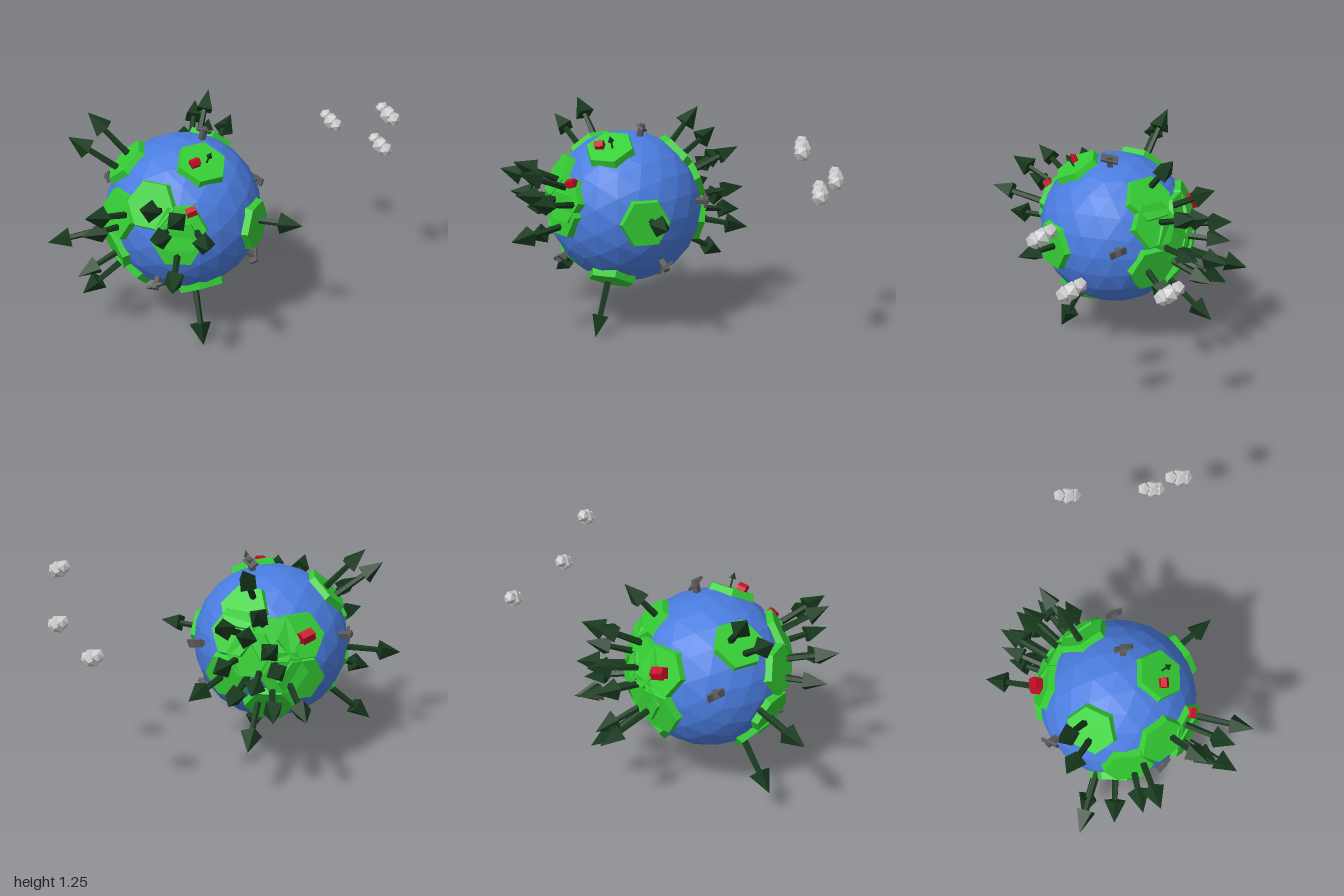
import * as THREE from 'three';

const R = 0.43;
const UP = new THREE.Vector3(0, 1, 0);
const material = (color) => new THREE.MeshStandardMaterial({ color, flatShading: true });
const mats = {
  sea: material(0x4a7de0), land: material(0x35cf35), tree: material(0x183a1e),
  house: material(0xc40d26), stone: material(0x5a5a5a), cloud: material(0xcccccc),
};

function mesh(name, geometry, mat, x = 0, y = 0, z = 0) {
  const m = new THREE.Mesh(geometry, mat);
  m.name = name;
  m.position.set(x, y, z);
  return m;
}

// Stands an object on the globe: its y axis points outward, its z axis runs level
function stand(object, direction, height, spin = 0) {
  const n = new THREE.Vector3(...direction).normalize();
  const level = new THREE.Vector3().crossVectors(UP, n).normalize();
  const side = new THREE.Vector3().crossVectors(n, level);
  object.quaternion.setFromRotationMatrix(new THREE.Matrix4().makeBasis(side, n, level));
  object.rotateY(spin);
  object.position.copy(n).multiplyScalar(height);
  return object;
}

// Tree reaching from the ground out to the given tip; short ones are also slimmer
function tree(tip) {
  const length = Math.hypot(...tip) - 0.42;
  const s = Math.min(1, (length / 0.2) ** 2);
  const crown = 0.125 * s, trunk = length - crown;
  const g = new THREE.Group();
  g.name = 'tree';
  g.add(
    mesh('trunk', new THREE.CylinderGeometry(0.016 * s, 0.02 * s, trunk, 5), mats.tree, 0, trunk / 2, 0),
    mesh('crown', new THREE.ConeGeometry(0.06 * s, crown, 4), mats.tree, 0, trunk + crown / 2, 0)
  );
  return stand(g, tip, 0.42, tip[0] * 5);
}

// Small house with a gable roof
function house(size) {
  const gable = new THREE.Shape([[-0.6, 0], [0.6, 0], [0, 0.45]].map((p) => new THREE.Vector2(...p)));
  const roof = new THREE.ExtrudeGeometry(gable, { depth: 1.3, bevelEnabled: false });
  const g = new THREE.Group();
  g.name = 'house';
  g.add(
    mesh('walls', new THREE.BoxGeometry(1, 0.8, 1.2), mats.house, 0, 0.4, 0),
    mesh('roof', roof, mats.house, 0, 0.75, -0.65)
  );
  g.scale.setScalar(size);
  return g;
}

// Grey tilted slab on a short post
function stone() {
  const g = new THREE.Group();
  g.name = 'stone';
  const slab = mesh('slab', new THREE.BoxGeometry(0.045, 0.014, 0.095), mats.stone, 0, 0.05, 0);
  slab.rotation.set(0.35, 0, 0.4);
  g.add(mesh('post', new THREE.BoxGeometry(0.028, 0.085, 0.032), mats.stone, 0, 0.028, 0), slab);
  return g;
}

// Cloud of three overlapping lumps
function cloud(x, y, z) {
  const g = new THREE.Group();
  g.name = 'cloud';
  [[-0.022, 0.026, -0.038, 0.038], [0.002, 0, 0, 0.05], [0.02, -0.015, 0.03, 0.043]].forEach(([a, b, c, r], i) => {
    const lump = mesh('cloudLump', new THREE.IcosahedronGeometry(r, 0), mats.cloud, a, b, c);
    lump.rotation.set(i, i * 0.7, 0);
    g.add(lump);
  });
  g.position.set(x, y, z);
  return g;
}

export function createModel() {
  const model = new THREE.Group();
  model.name = 'tinyPlanet';
  const planet = new THREE.Group();
  planet.name = 'planet';
  planet.position.set(-0.24, 0.7, 0);
  planet.add(mesh('sea', new THREE.IcosahedronGeometry(R, 3), mats.sea));

  // Hexagonal land plates
  const plates = [
    [0.34, 0, 0.26], [0.06, 0.37, 0.21], [0.055, -0.37, 0.2],
    [-0.115, 0.02, 0.41], [-0.1, 0.1, 0.41], [-0.23, 0.2, 0.3], [-0.38, 0.1, 0.16],
    [-0.3, 0.3, -0.06], [-0.4, -0.13, 0.09], [-0.31, -0.27, 0.06],
    [0.2, 0.29, -0.25], [0.26, 0.17, -0.3], [0.3, -0.08, -0.3], [0.076, -0.235, -0.35],
    [0.18, 0.07, -0.38], [0.06, 0.15, -0.4], [-0.08, 0.16, -0.39], [0.02, -0.02, -0.43], [-0.08, -0.07, -0.41],
  ];
  for (const p of plates) {
    planet.add(stand(mesh('land', new THREE.CylinderGeometry(0.134, 0.143, 0.045, 6), mats.land), p, 0.42));
  }

  // Trees, listed by their tips
  const tips = [
    [0.57, 0.02, 0.38], [0.035, -0.69, 0.325], [0.1, 0.45, 0.26],
    [-0.18, 0.28, 0.68], [-0.32, 0.31, 0.57], [-0.03, 0.15, 0.755], [-0.21, -0.09, 0.725], [-0.27, 0.14, 0.62],
    [-0.48, 0.555, -0.17], [-0.6, 0.455, -0.1], [-0.59, 0.21, 0.39], [-0.6, 0.06, 0.3],
    [-0.755, -0.12, -0.01], [-0.62, -0.265, 0.145], [-0.575, -0.495, -0.06],
    [0.23, 0.54, -0.385], [0.4, 0.3, -0.55], [0.53, -0.14, -0.46], [0.245, -0.38, -0.63],
    [-0.035, -0.17, -0.765], [0.2, 0.385, -0.61], [0.15, 0.19, -0.7], [0.24, -0.03, -0.7],
    [0.35, -0.1, -0.65], [0.42, 0.06, -0.58], [0.28, 0.26, -0.61], [0.1, 0.05, -0.69], [0.12, -0.2, -0.68],
  ];
  for (const t of tips) planet.add(tree(t));

  // Houses
  const houses = [[[0.015, 0.4, 0.25], 0.04], [[-0.045, 0.205, 0.43], 0.042], [[-0.105, 0.175, -0.43], 0.058]];
  for (const [p, size] of houses) planet.add(stand(house(size), p, 0.44, 0.3));

  // Stones scattered on the sea
  const stones = [
    [0.455, 0.065, -0.15], [0.345, -0.255, 0.115], [0.115, 0.45, 0], [-0.21, -0.26, 0.3], [-0.355, 0.106, -0.26],
  ];
  for (const p of stones) planet.add(stand(stone(), p, 0.425, 0.3));

  // Clouds drifting to one side
  model.add(planet, cloud(0.91, 1.165, 0.03), cloud(0.935, 0.91, -0.125), cloud(0.785, 0.885, -0.575));
  return model;
}
